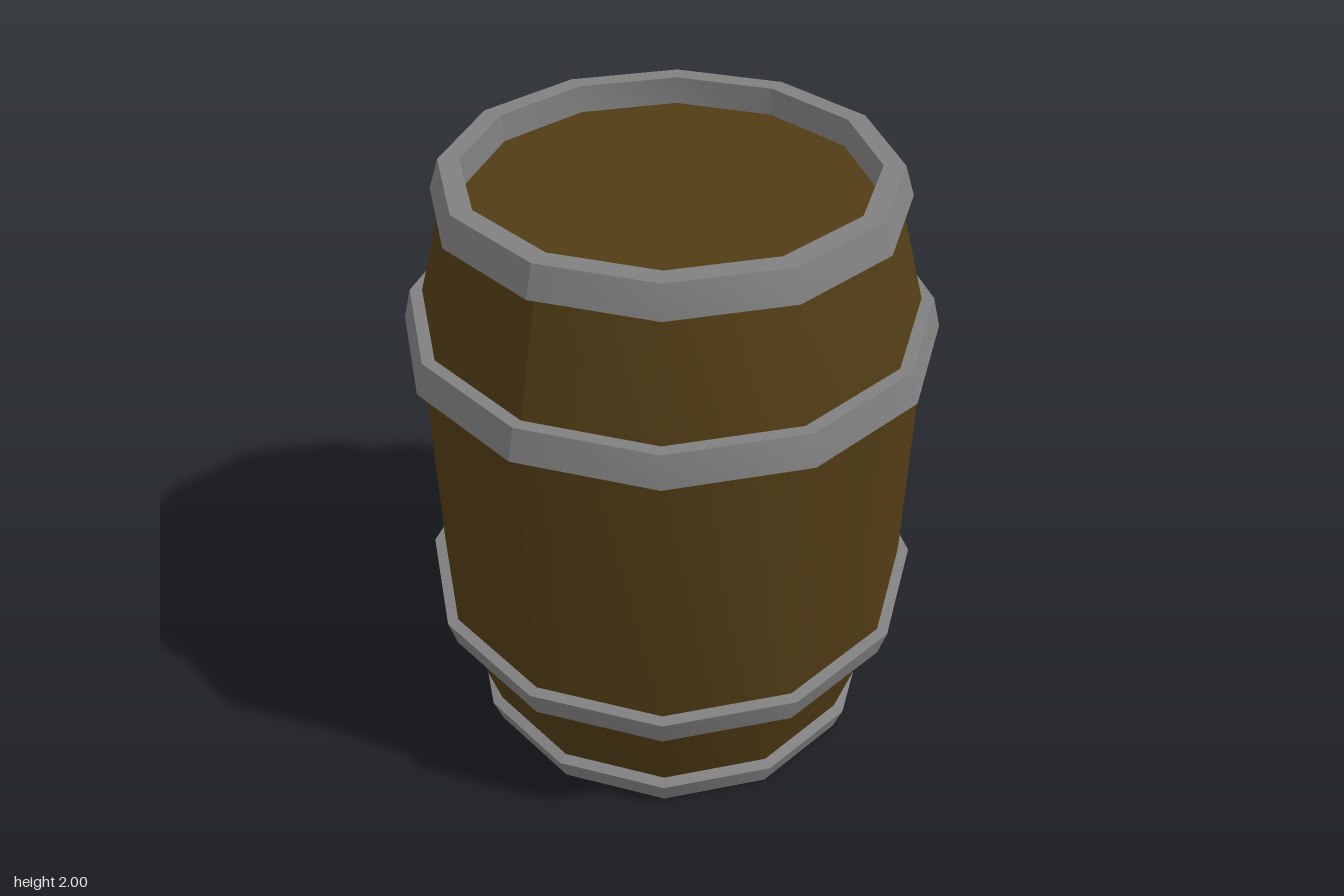
import * as THREE from 'three';
import { mergeGeometries } from 'three/addons/utils/BufferGeometryUtils.js';

const wood = new THREE.MeshStandardMaterial({ color: 0x513c15 });
const metal = new THREE.MeshStandardMaterial({ color: 0x808080 });
const CORNER = 1 / Math.cos(Math.PI / 12); // flat-to-corner radius of a 12-gon

// Sweeps a profile of [flat radius, y] points into a 12-sided ring. Profile edges
// stay sharp; each quarter turn is smooth, with a crease at the diagonals.
function ring(name, profile, material) {
  const parts = [];
  for (let i = 0; i < profile.length - 1; i++) {
    const pts = [profile[i], profile[i + 1]].map(([r, y]) => new THREE.Vector2(r * CORNER, y));
    for (let q = 0; q < 4; q++) {
      const g = new THREE.LatheGeometry(pts, 3, Math.PI / 4 + q * Math.PI / 2, Math.PI / 2);
      g.computeVertexNormals();
      parts.push(g);
    }
  }
  const mesh = new THREE.Mesh(mergeGeometries(parts), material);
  mesh.name = name;
  return mesh;
}

// Flat 12-sided end board
function lid(name, y, up) {
  const geo = new THREE.CircleGeometry(0.6 * CORNER, 12, Math.PI / 12);
  geo.rotateX(up ? -Math.PI / 2 : Math.PI / 2);
  const mesh = new THREE.Mesh(geo, wood);
  mesh.name = name;
  mesh.position.y = y;
  return mesh;
}

// Mirrors a closed profile about mid height, keeping its winding
const flip = (profile) => profile.map(([r, y]) => [r, 2 - y]).reverse();

export function createModel() {
  const barrel = new THREE.Group();
  barrel.name = 'barrel';

  // Staves: straight belly, tapering to both ends
  barrel.add(ring('staves', [[0.635, 0.06], [0.765, 0.54], [0.765, 1.46], [0.635, 1.94]], wood));

  // End boards, recessed inside the rims
  barrel.add(lid('topLid', 1.915, true), lid('bottomLid', 0.085, false));

  // Tilted hoops: outer face, top, inner face, underside
  const rim = [[0.68, 1.907], [0.65, 2], [0.588, 2], [0.582, 1.895], [0.645, 1.895], [0.68, 1.907]];
  const belt = [[0.8, 1.462], [0.775, 1.56], [0.725, 1.56], [0.75, 1.455], [0.8, 1.462]];
  barrel.add(
    ring('topRimHoop', rim, metal),
    ring('upperHoop', belt, metal),
    ring('lowerHoop', flip(belt), metal),
    ring('bottomRimHoop', flip(rim), metal),
  );
  return barrel;
}
